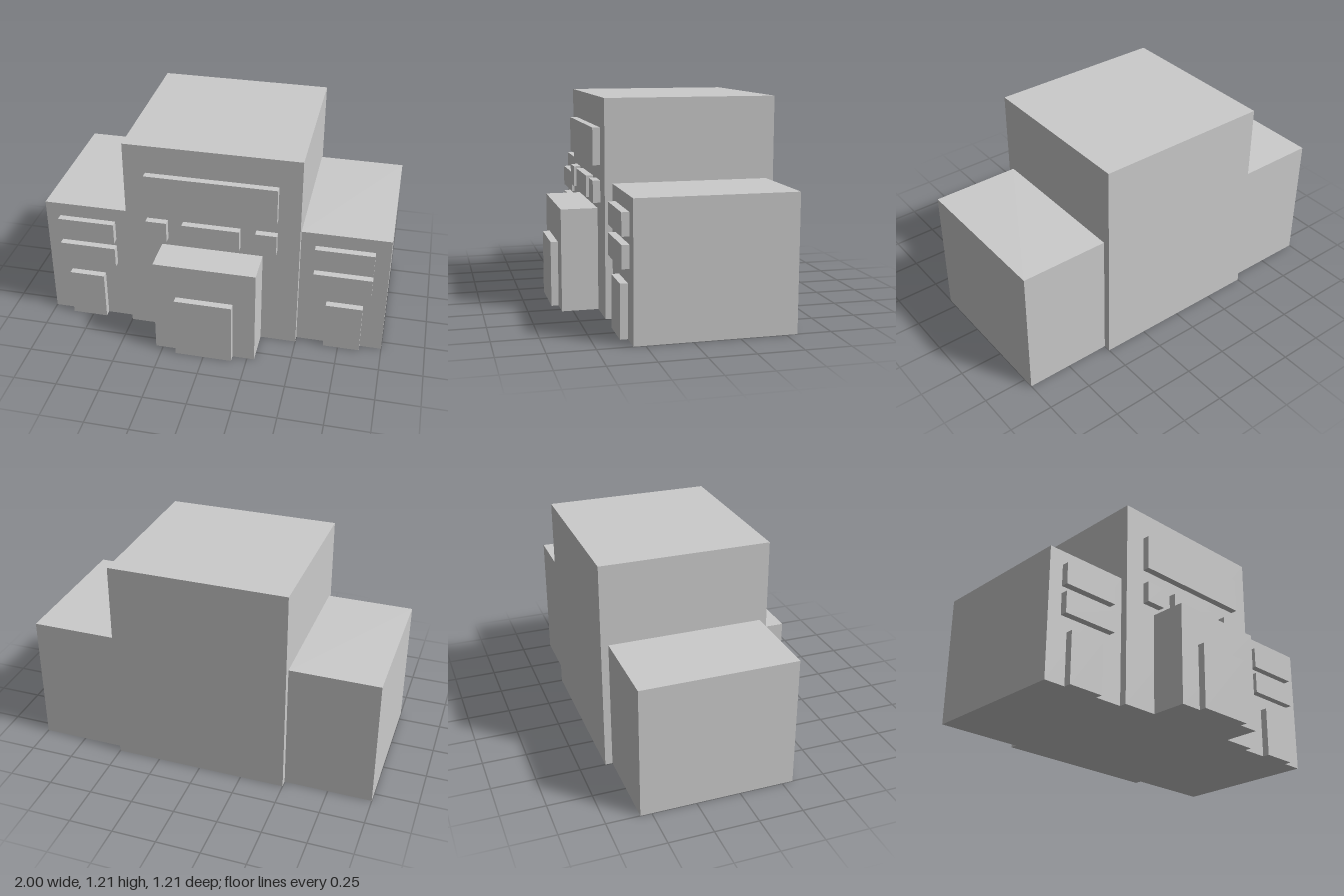
import * as THREE from 'three';

const material = new THREE.MeshStandardMaterial({ color: 0xcccccc, flatShading: true });

// Box given by its lower and upper bounds on each axis
function block(name, [x0, x1], [y0, y1], [z0, z1]) {
  const mesh = new THREE.Mesh(new THREE.BoxGeometry(x1 - x0, y1 - y0, z1 - z0), material);
  mesh.name = name;
  mesh.position.set((x0 + x1) / 2, (y0 + y1) / 2, (z0 + z1) / 2);
  return mesh;
}

export function createModel() {
  const building = new THREE.Group();
  building.name = 'building';

  const back = -0.604, hallFront = 0.354, wingFront = 0.3125, porchFront = 0.5625;
  const relief = 0.0415; // how far doors, windows and the sign stand out
  const onHall = [hallFront, hallFront + relief];
  const onWing = [wingFront, wingFront + relief];

  // Tall central hall with its entrance porch
  building.add(
    block('mainHall', [-0.5, 0.5], [0, 1.208], [back, hallFront]),
    block('signPanel', [-0.374, 0.374], [0.835, 1.042], onHall),
    block('middleWindow', [-0.165, 0.165], [0.627, 0.75], onHall),
    block('entrancePorch', [-0.292, 0.292], [0, 0.583], [hallFront, porchFront]),
    block('entranceDoor', [-0.165, 0.165], [0, 0.375], [porchFront, porchFront + relief])
  );

  // Mirrored side wings and the small hall windows
  for (const [side, s] of [['left', 1], ['right', -1]]) {
    const span = (a, b) => (s > 0 ? [a, b] : [-b, -a]);
    const wing = new THREE.Group();
    wing.name = side + 'Wing';
    wing.add(
      block(side + 'WingBody', span(0.5, 1), [0, 0.75], [-0.5625, wingFront]),
      block(side + 'WingDoor', span(0.664, 0.874), [0, 0.294], onWing),
      block(side + 'LowerWindow', span(0.583, 0.916), [0.378, 0.502], onWing),
      block(side + 'UpperWindow', span(0.583, 0.916), [0.544, 0.668], onWing)
    );
    building.add(wing, block(side + 'SmallWindow', span(0.254, 0.374), [0.627, 0.75], onHall));
  }

  return building;
}
